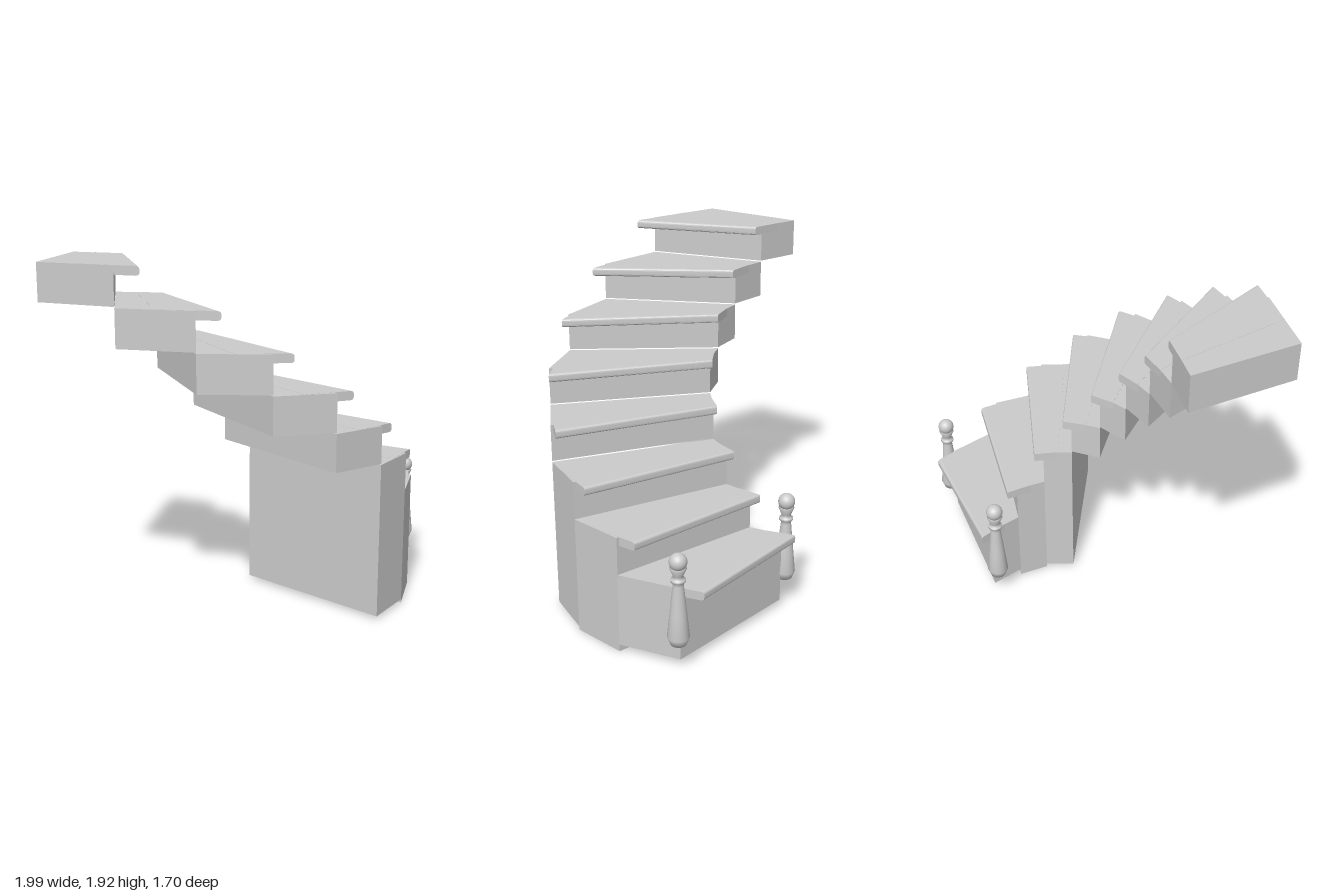
import * as THREE from 'three';

// Riser lines: [innerX, innerZ, outerX, outerZ], lowest step first, last entry is the back of the top step
const RISERS = [
  [0.57, -0.28, 0.90, 0.45], [0.43, -0.155, 0.65, 0.69], [0.28, -0.08, 0.37, 0.82],
  [0.12, -0.07, 0.08, 0.845], [-0.04, -0.12, -0.21, 0.76], [-0.18, -0.23, -0.475, 0.56],
  [-0.30, -0.39, -0.705, 0.26], [-0.40, -0.60, -0.88, -0.12], [-0.475, -0.85, -1, -0.55],
];
// Nosing lines: front edge of each tread
const NOSES = [
  [0.615, -0.34, 0.98, 0.355], [0.48, -0.19, 0.735, 0.625], [0.33, -0.10, 0.46, 0.79],
  [0.17, -0.07, 0.17, 0.845], [0.01, -0.11, -0.11, 0.79], [-0.14, -0.21, -0.39, 0.625],
  [-0.27, -0.36, -0.63, 0.36], [-0.38, -0.55, -0.83, 0.01],
];
const FIRST_TOP = 0.45, RISE = 0.21, TREAD = 0.048;
const FLOOR = [0.04, 0, 0.02]; // the lowest three steps reach down to the ground

const mix = (a, b, t) => a.map((v, i) => v + (b[i] - v) * t);

// Spread a (forward, up) profile between a back line and a front line
function wedge(shape, back, front, name, material) {
  const geo = new THREE.ExtrudeGeometry(shape, { depth: 1, bevelEnabled: false, curveSegments: 4 });
  const pos = geo.attributes.position;
  for (let i = 0; i < pos.count; i++) {
    const line = mix(back, front, pos.getX(i));
    const u = pos.getZ(i);
    pos.setXYZ(i, line[0] + (line[2] - line[0]) * u, pos.getY(i), line[1] + (line[3] - line[1]) * u);
  }
  geo.computeVertexNormals();
  const mesh = new THREE.Mesh(geo, material);
  mesh.name = name;
  return mesh;
}

function blockProfile(y0, y1) {
  return new THREE.Shape([[0, y0], [1, y0], [1, y1], [0, y1]].map(p => new THREE.Vector2(...p)));
}

// Tread section with a rounded front edge
function treadProfile(y0, y1) {
  const s = new THREE.Shape(), rs = 0.07, ry = 0.016;
  s.moveTo(0, y0);
  s.lineTo(1 - rs, y0);
  s.quadraticCurveTo(1, y0, 1, y0 + ry);
  s.lineTo(1, y1 - ry);
  s.quadraticCurveTo(1, y1, 1 - rs, y1);
  s.lineTo(0, y1);
  s.closePath();
  return s;
}

// Turned newel post with a ball finial
function newelPost(x, z, material) {
  const post = new THREE.Group();
  post.name = 'newelPost';
  const profile = [
    [0, 0.163], [0.042, 0.163], [0.058, 0.205], [0.045, 0.33], [0.028, 0.495], [0.028, 0.513],
    [0.038, 0.517], [0.038, 0.53], [0.025, 0.533], [0.027, 0.55], [0.043, 0.588], [0.03, 0.592], [0, 0.595],
  ].map(p => new THREE.Vector2(...p));
  const shaft = new THREE.Mesh(new THREE.LatheGeometry(profile, 24), material);
  shaft.name = 'postShaft';
  const ball = new THREE.Mesh(new THREE.SphereGeometry(0.046, 24, 16), material);
  ball.name = 'postBall';
  ball.position.y = 0.624;
  post.add(shaft, ball);
  post.position.set(x, 0, z);
  return post;
}

export function createModel() {
  const group = new THREE.Group();
  group.name = 'curvedStaircase';
  const material = new THREE.MeshStandardMaterial({ color: 0xcccccc });

  NOSES.forEach((nose, k) => {
    const step = new THREE.Group();
    step.name = 'step' + (k + 1);
    const top = FIRST_TOP + RISE * k;
    const bottom = FLOOR[k] ?? top - 0.205;
    const front = RISERS[k], back = RISERS[k + 1];
    step.add(wedge(blockProfile(bottom, top - 0.001), back, front, 'stepBody', material));
    // The tread runs from the middle of the step to the overhanging nosing
    step.add(wedge(treadProfile(top - TREAD, top), mix(back, front, 0.5), nose, 'tread', material));
    group.add(step);
  });

  // Posts either side of the bottom step
  group.add(newelPost(0.935, 0.475, material), newelPost(0.54, -0.32, material));
  return group;
}
